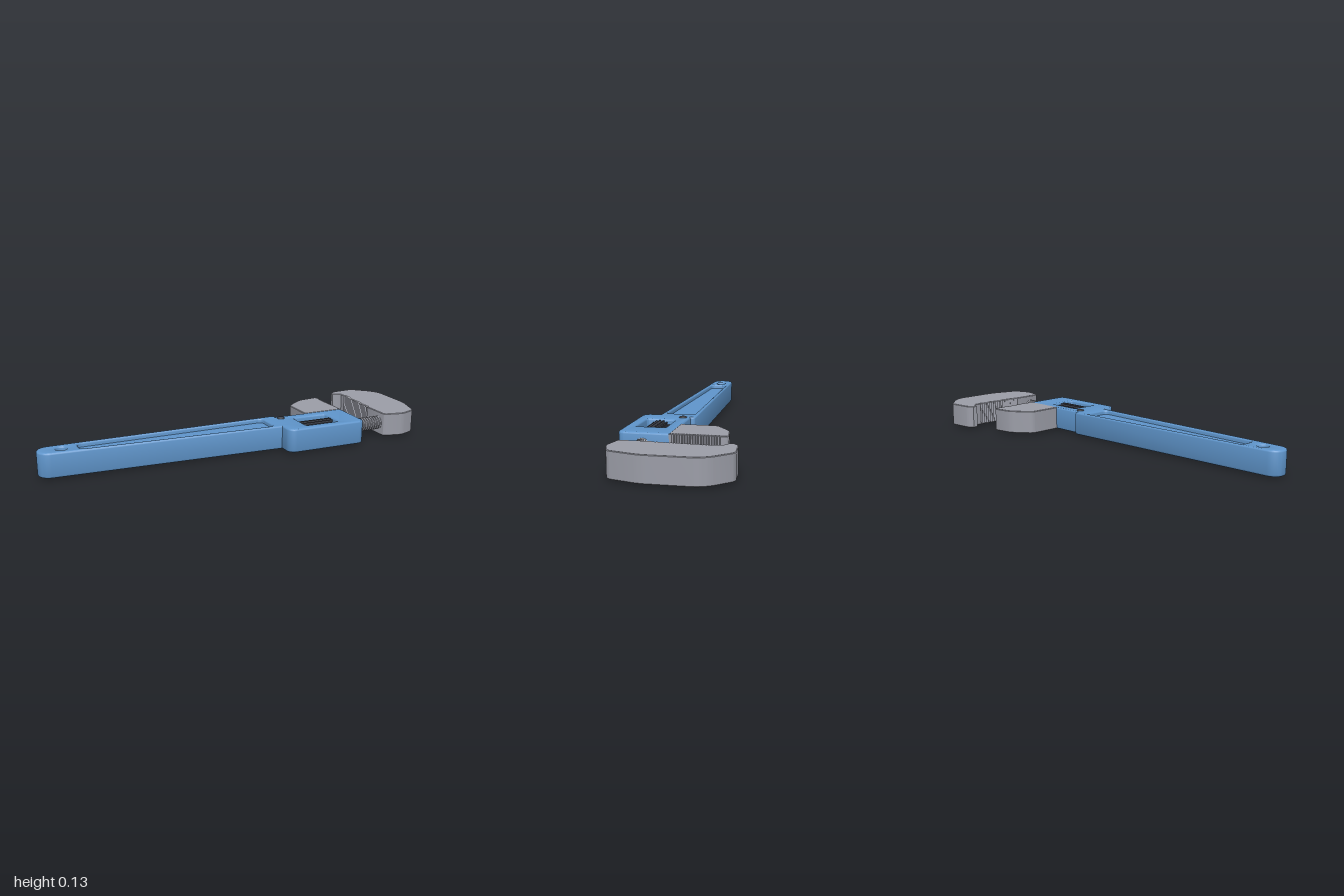
import * as THREE from 'three';
import { toCreasedNormals } from 'three/addons/utils/BufferGeometryUtils.js';

const BOTTOM = 0.008, TOP = 0.127, MID = (BOTTOM + TOP) / 2;
const SCREW_Z = 0.17;

const blue = new THREE.MeshStandardMaterial({ name: 'blue paint', color: 0x5f95cb });
const steel = new THREE.MeshStandardMaterial({ name: 'grey steel', color: 0x9b9da7 });
const dark = new THREE.MeshStandardMaterial({ name: 'dark steel', color: 0x41444d });

// Closed outline through [x, z, cornerRadius] points.
function outline(points, Type = THREE.Shape) {
  const path = new Type();
  const n = points.length;
  points.forEach(([x, z, r = 0], i) => {
    const p = new THREE.Vector2(x, z);
    const toward = (q, d) => p.clone().add(new THREE.Vector2(q[0], q[1]).sub(p).setLength(d));
    const prev = points[(i + n - 1) % n], next = points[(i + 1) % n];
    const a = r ? toward(prev, r) : p;
    if (i === 0) path.moveTo(a.x, a.y);
    else path.lineTo(a.x, a.y);
    if (r) {
      const b = toward(next, r), c1 = toward(prev, r * 0.45), c2 = toward(next, r * 0.45);
      path.bezierCurveTo(c1.x, c1.y, c2.x, c2.y, b.x, b.y);
    }
  });
  path.closePath();
  return path;
}

// Flat slab lying in the xz plane between two heights, with softened edges.
function slab(shape, y0, y1, bevel, segments) {
  const geo = new THREE.ExtrudeGeometry(shape, {
    depth: y1 - y0 - 2 * bevel, curveSegments: 8, bevelEnabled: bevel > 0,
    bevelThickness: bevel, bevelSize: bevel, bevelOffset: -bevel, bevelSegments: segments,
  });
  geo.rotateX(Math.PI / 2).translate(0, y1 - bevel, 0);
  return toCreasedNormals(geo, 0.65);
}

function add(group, name, geometry, material) {
  const mesh = new THREE.Mesh(geometry, material);
  mesh.name = name;
  group.add(mesh);
  return mesh;
}

// Sawtooth run between two points; depth is measured along x.
function teeth(x0, z0, x1, z1, count, depth) {
  const pts = [];
  for (let i = 0; i < count; i++) {
    for (const [f, d] of [[0, 0], [0.5, depth]]) {
      const t = (i + f) / count;
      pts.push([x0 + (x1 - x0) * t + d, z0 + (z1 - z0) * t]);
    }
  }
  pts.push([x1, z1]);
  return pts;
}

export function createModel() {
  const model = new THREE.Group();
  model.name = 'pipeWrench';

  // Handle and head in one casting, pierced by the recess, window and hanging hole
  const body = outline([
    [-1, 0.057, 0.054], [0.225, 0.021, 0.012], [0.225, 0.045], [0.61, 0.045],
    [0.61, 0.286, 0.03], [0.185, 0.286, 0.04], [0.185, 0.203], [-1, 0.166, 0.054],
  ]);
  const recess = [
    [-0.81, 0.068, 0.025], [0.15, 0.042, 0.025], [0.15, 0.183, 0.025], [-0.81, 0.152, 0.025],
  ];
  body.holes.push(outline(recess, THREE.Path));
  body.holes.push(outline([
    [0.3, 0.099, 0.012], [0.482, 0.099, 0.012], [0.482, 0.238, 0.012], [0.3, 0.238, 0.012],
  ], THREE.Path));
  const hang = new THREE.Path();
  hang.absarc(-0.888, 0.111, 0.026, 0, Math.PI * 2);
  body.holes.push(hang);
  add(model, 'handleAndHead', slab(body, BOTTOM, TOP, 0.009, 3), blue);

  // Thin web closing the handle recess between its two faces
  const web = outline([[-0.82, 0.064], [0.16, 0.036], [0.16, 0.19], [-0.82, 0.158]]);
  add(model, 'handleWeb', slab(web, BOTTOM + 0.022, TOP - 0.022, 0, 1), blue);

  // Fixed heel jaw with teeth facing +x
  const heel = outline([
    [0.395, 0.05], [0.395, -0.125, 0.02], [0.495, -0.2, 0.02], [0.612, -0.217, 0.02],
    ...teeth(0.614, -0.18, 0.614, 0.036, 18, -0.008), [0.61, 0.05],
  ]);
  add(model, 'fixedJaw', slab(heel, BOTTOM, TOP, 0.003, 1), steel);

  // Sliding hook jaw with teeth facing -x
  const hook = outline([
    [0.735, -0.24], [0.738, -0.263], [0.765, -0.286, 0.01], [0.89, -0.297, 0.02],
    [0.975, -0.215, 0.02], [1, -0.165, 0.02], [1, 0.07, 0.03], [0.957, 0.215, 0.02],
    [0.87, 0.248, 0.02], [0.768, 0.227, 0.015],
    ...teeth(0.765, 0.07, 0.777, -0.185, 20, 0.008), [0.777, -0.215], [0.757, -0.235],
  ]);
  add(model, 'hookJaw', slab(hook, BOTTOM, TOP, 0.003, 1), steel);

  // Threaded rod carrying the hook jaw
  const thread = [];
  for (let y = 0.3; y < 0.785; y += 0.014) {
    thread.push(new THREE.Vector2(0.029, y), new THREE.Vector2(0.035, y + 0.004),
      new THREE.Vector2(0.035, y + 0.007), new THREE.Vector2(0.029, y + 0.011));
  }
  const rodGeo = toCreasedNormals(new THREE.LatheGeometry(thread, 28), 0.5);
  rodGeo.rotateZ(-Math.PI / 2);
  add(model, 'threadedRod', rodGeo, steel).position.set(0, MID, SCREW_Z);

  // Ribbed adjusting nut inside the window
  const nut = new THREE.Shape();
  const ribs = 20;
  for (let i = 0; i < ribs * 4; i++) {
    const a = (i / (ribs * 4)) * Math.PI * 2, r = i % 4 < 2 ? 0.057 : 0.049;
    nut[i ? 'lineTo' : 'moveTo'](r * Math.cos(a), r * Math.sin(a));
  }
  nut.closePath();
  const nutGeo = new THREE.ExtrudeGeometry(nut, {
    depth: 0.168, bevelThickness: 0.004, bevelSize: 0.003, bevelOffset: -0.003, bevelSegments: 1,
  });
  nutGeo.rotateY(Math.PI / 2);
  add(model, 'adjustingNut', nutGeo, dark).position.set(0.308, MID, SCREW_Z);

  // Pivot pin with domed ends on both faces
  const half = MID - 0.001;
  const pin = [[0, -half], [0.012, -half + 0.001], [0.018, -half + 0.004], [0.02, -half + 0.009]];
  const profile = [...pin, ...pin.map(([r, y]) => [r, -y]).reverse()]
    .map(([r, y]) => new THREE.Vector2(r, y));
  add(model, 'pivotPin', new THREE.LatheGeometry(profile, 24), dark).position.set(0.24, MID, 0.077);

  return model;
}
